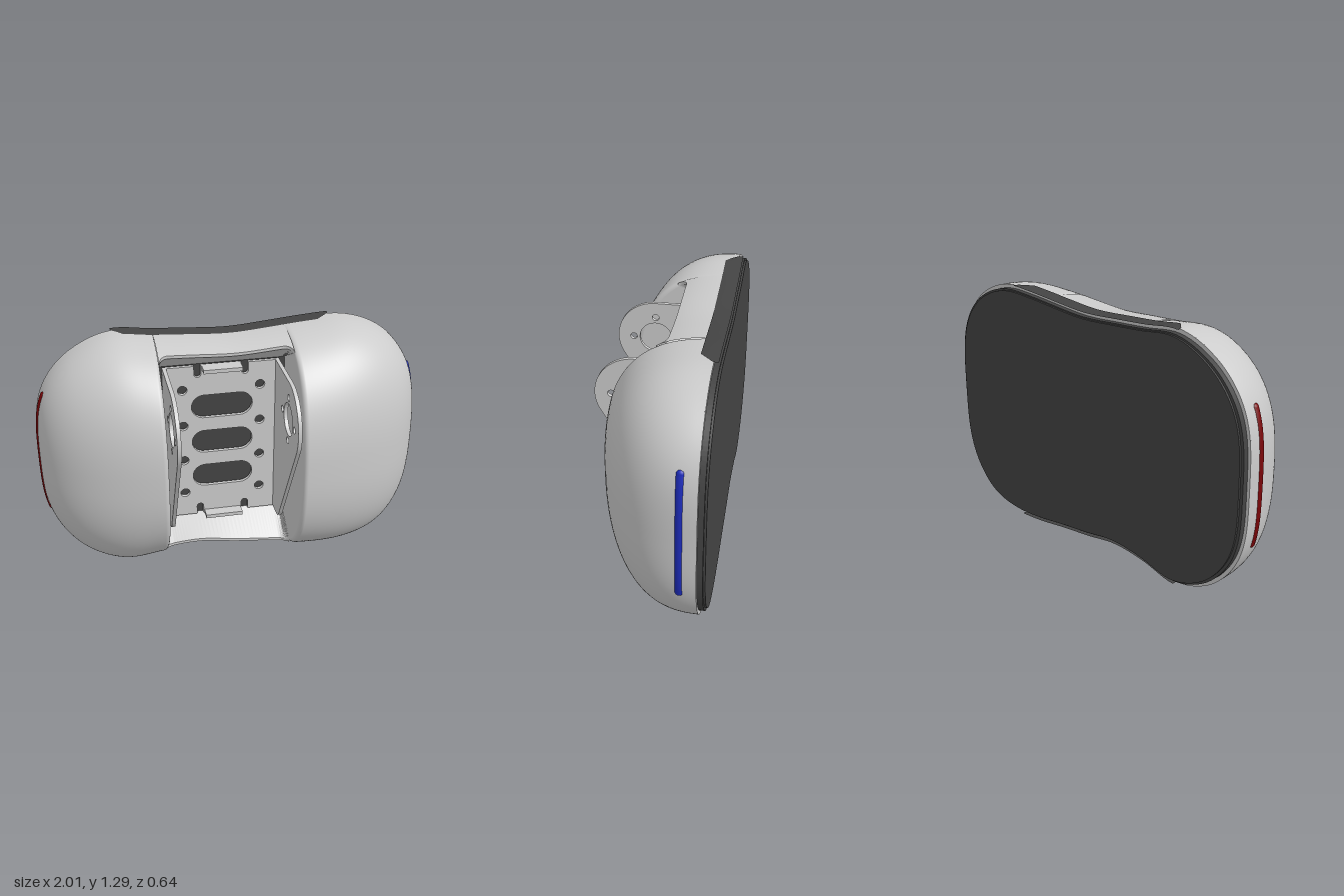
import * as THREE from 'three';

const MID = 0.64, BACK = -0.28, HEIGHT = 0.545, N = 2.5;
const SLOT_L = -0.385, SLOT_R = 0.285, RIM_Z = -0.04, FLOOR_Z = -0.19;

const mat = (color = 0xcccccc, extra = {}) =>
  new THREE.MeshStandardMaterial({ color, side: THREE.DoubleSide, ...extra });
const mesh = (name, geo, material) => {
  const m = new THREE.Mesh(geo, material);
  m.name = name;
  return m;
};

// Upper and lower half-heights of the outline, at even steps from x = -1 to 1
const spline = (values) =>
  new THREE.SplineCurve(values.map((v, i) => new THREE.Vector2(-1 + (2 * i) / (values.length - 1), v)));
const topSpline = spline([0.62, 0.655, 0.67, 0.63, 0.61, 0.6, 0.615, 0.64, 0.67, 0.67, 0.65]);
const lowSpline = spline([0.6, 0.645, 0.645, 0.577, 0.552, 0.58, 0.605, 0.64, 0.672, 0.69, 0.66]);
const ellipse = (t, n) => Math.pow(Math.max(0, 1 - Math.pow(Math.abs(t), n)), 1 / n);
const half = (x, sign) => ellipse(x, 3.5) * (sign > 0 ? topSpline : lowSpline).getPoint((x + 1) / 2).y;
const height = (x) => HEIGHT * ellipse(x, N);

// Body surface: y at a given x and z, and x at a given y and z
const yAt = (x, z, sign) => MID + sign * half(x, sign) * ellipse(Math.max(0, z - BACK) / height(x), N);
function xAt(y, z, side) {
  let lo = 0.5, hi = 1;
  for (let i = 0; i < 30; i++) {
    const m = (lo + hi) / 2, x = m * side;
    const v = Math.abs(y - MID) / (half(x, y - MID) || 1e-6);
    if (BACK + height(x) * ellipse(v, N) > z) lo = m; else hi = m;
  }
  return lo * side;
}

// Surface through rows of points
function loft(rows) {
  const w = rows[0].length, index = [];
  for (let i = 0; i < rows.length - 1; i++)
    for (let j = 0; j < w - 1; j++) {
      const a = i * w + j, b = a + w;
      index.push(a, b, a + 1, b, b + 1, a + 1);
    }
  const geo = new THREE.BufferGeometry();
  geo.setAttribute('position', new THREE.Float32BufferAttribute(rows.flat(2), 3));
  geo.setIndex(index);
  geo.computeVertexNormals();
  return geo;
}
const range = (n, f) => Array.from({ length: n + 1 }, (_, i) => f(i / n));

// Domed lobe beside the slot, with a small round on its inner edge
function lobe(side, face) {
  const r = 0.025, span = Math.abs(side - face);
  const section = (x) => {
    const d = Math.min(1, Math.abs(x - face) / r);
    const inset = r * (1 - Math.sqrt(1 - (1 - d) ** 2));
    return range(64, (t) => {
      const c = Math.cos(t * Math.PI), s = Math.sign(c) || 1;
      const v = Math.pow(Math.abs(c), 2 / N), w = Math.pow(Math.max(0, Math.sin(t * Math.PI)), 2 / N);
      return [x, MID + s * v * (half(x, s) - inset * w), BACK + w * (height(x) - inset)];
    });
  };
  const xs = [
    ...range(5, (t) => face + side * r * (1 - Math.cos((t * Math.PI) / 2))),
    ...range(44, (t) => face + side * (r + (span - r) * (1 - (1 - t) ** 3))).slice(1),
  ];
  const edge = section(face);
  const group = new THREE.Group();
  group.add(
    mesh('lobeShell', loft(xs.map(section)), mat()),
    mesh('slotWall', loft([edge, edge.map(([x, y]) => [x, y, BACK])]), mat()),
  );
  group.name = side > 0 ? 'leftLobe' : 'rightLobe';
  return group;
}

// Waist between the lobes: outer skin, rim and sloping pocket wall
function waist(sign) {
  const xs = range(48, (t) => SLOT_L + (SLOT_R - SLOT_L) * (1 - Math.cos(t * Math.PI)) / 2);
  const rimZ = (x) => {
    const r = 0.05, d = Math.max(0, r - Math.min(x - SLOT_L, SLOT_R - x));
    return RIM_Z + r - Math.sqrt(Math.max(0, r * r - d * d));
  };
  const skin = xs.map((x) => range(12, (t) => {
    const z = BACK + t * (rimZ(x) - BACK);
    return [x, yAt(x, z, sign), z];
  }));
  const inner = xs.map((x) => {
    const z = rimZ(x), y = yAt(x, z, sign);
    return [[x, y, z], [x, y - sign * 0.015, z], [x, sign > 0 ? 1.1 : 0.215, FLOOR_Z]];
  });
  const group = new THREE.Group();
  group.add(mesh('waistSkin', loft(skin), mat()),
    mesh('pocketWall', loft(inner), mat(0xcccccc, { flatShading: true })));
  group.name = sign > 0 ? 'upperWaist' : 'lowerWaist';
  return group;
}

// Slab with the body outline
function outlineSlab(sx, sy, z0, z1) {
  const xs = range(100, (t) => {
    const u = 2 * t - 1;
    return Math.sign(u) * (1 - (1 - Math.abs(u)) ** 3);
  });
  const line = (sign) => xs.map((x) => new THREE.Vector2(x * sx, MID + sign * half(x, sign) * sy));
  const pts = [...line(-1), ...line(1).reverse().slice(1, -1)];
  const geo = new THREE.ExtrudeGeometry(new THREE.Shape(pts), { depth: z1 - z0, bevelEnabled: false });
  return geo.translate(0, 0, z0);
}

// Dark trapezoid wrapped over the edge of the waist
function edgeInsert(sign) {
  const rows = range(40, (k) => range(6, (t) => {
    const z = -0.305 + t * 0.087, n = Math.max(0, (z - BACK) / 0.062);
    const x = THREE.MathUtils.lerp(-0.59 + 0.06 * n, 0.53 - 0.07 * n, k);
    return [x, yAt(x, z, sign) + sign * 0.003, z];
  }));
  return mesh('edgeInsert', loft(rows), mat(0x444444));
}

// Rounded light strip following the side
function sideStrip(side, color, name) {
  const pts = range(24, (t) => {
    const y = 0.35 + t * 0.64;
    return new THREE.Vector3(xAt(y, -0.205, side) - side * 0.016, y, -0.205);
  });
  const group = new THREE.Group(), m = mat(color), r = 0.023;
  group.add(mesh('strip', new THREE.TubeGeometry(new THREE.CatmullRomCurve3(pts), 48, r, 12), m));
  for (const p of [pts[0], pts[24]])
    group.add(mesh('stripEnd', new THREE.SphereGeometry(r, 16, 12).translate(p.x, p.y, p.z), m));
  group.name = name;
  return group;
}

const circleHole = (x, y, r) => new THREE.Path().absarc(x, y, r, 0, Math.PI * 2, true);

// U-shaped bracket: perforated plate, tabs and two arms
function bracket() {
  const group = new THREE.Group();
  group.name = 'bracket';
  const notches = [-0.175, 0.07], r = 0.018, lo = 0.22, hi = 1.1;
  const plate = new THREE.Shape().moveTo(-0.345, lo);
  for (const x of notches)
    plate.lineTo(x - r, lo).lineTo(x - r, lo + 0.045).absarc(x, lo + 0.045, r, Math.PI, 0, true).lineTo(x + r, lo);
  plate.lineTo(0.24, lo).lineTo(0.24, hi);
  for (const x of [...notches].reverse())
    plate.lineTo(x + r, hi).lineTo(x + r, hi - 0.045).absarc(x, hi - 0.045, r, 0, Math.PI, true).lineTo(x - r, hi);
  plate.lineTo(-0.345, hi);
  for (const y of [0.87, 0.665, 0.46])
    plate.holes.push(new THREE.Path()
      .absarc(0.045, y, 0.065, Math.PI / 2, -Math.PI / 2, true)
      .absarc(-0.145, y, 0.065, -Math.PI / 2, Math.PI / 2, true));
  for (const y of [0.97, 0.765, 0.56, 0.36])
    for (const x of [-0.255, 0.15]) plate.holes.push(circleHole(x, y, 0.025));
  group.add(mesh('bracketPlate',
    new THREE.ExtrudeGeometry(plate, { depth: 0.02, bevelEnabled: false }).translate(0, 0, -0.18), mat()));

  for (const y of [lo + 0.01, hi - 0.01])
    group.add(mesh('bracketTab', new THREE.BoxGeometry(0.2, 0.02, 0.07).translate(-0.0525, y, -0.135), mat()));

  const arm = new THREE.Shape().moveTo(-0.18, lo).lineTo(-0.07, lo);
  arm.quadraticCurveTo(-0.03, lo, 0.0, 0.29);
  arm.absarc(0.12, 0.9, 0.2, -Math.PI / 6, Math.PI / 2, false).lineTo(-0.18, hi);
  arm.holes.push(circleHole(0.12, 0.9, 0.085));
  for (const [a, b] of [[1, 0], [-1, 0], [0, 1], [0, -1]])
    arm.holes.push(circleHole(0.12 + a * 0.118, 0.9 + b * 0.118, 0.018));
  const armGeo = new THREE.ExtrudeGeometry(arm, { depth: 0.02, bevelEnabled: false, curveSegments: 24 })
    .rotateY(-Math.PI / 2);
  for (const [x, name] of [[-0.333, 'rightArm'], [0.25, 'leftArm']])
    group.add(mesh(name, armGeo.clone().translate(x, 0, 0), mat()));
  return group;
}

export function createModel() {
  const model = new THREE.Group();
  model.name = 'housing';
  model.add(lobe(1, SLOT_R), lobe(-1, SLOT_L));
  for (const sign of [1, -1]) model.add(waist(sign), edgeInsert(sign));
  model.add(mesh('pocketFloor',
    new THREE.BoxGeometry(SLOT_R - SLOT_L, 0.9, 0.02).translate((SLOT_L + SLOT_R) / 2, 0.66, FLOOR_Z - 0.01),
    mat(0x444444)));
  // Back cover in two steps behind the body rim
  model.add(mesh('backRim', outlineSlab(1, 1, BACK - 0.003, BACK), mat()));
  model.add(mesh('backCover', outlineSlab(0.985, 0.972, -0.31, BACK), mat(0x444444)));
  model.add(mesh('backPanel', outlineSlab(0.97, 0.96, -0.32, -0.31), mat(0x444444)));
  model.add(sideStrip(1, 0x1c2bb8, 'leftLightStrip'), sideStrip(-1, 0x7a0508, 'rightLightStrip'));
  model.add(bracket());
  return model;
}
